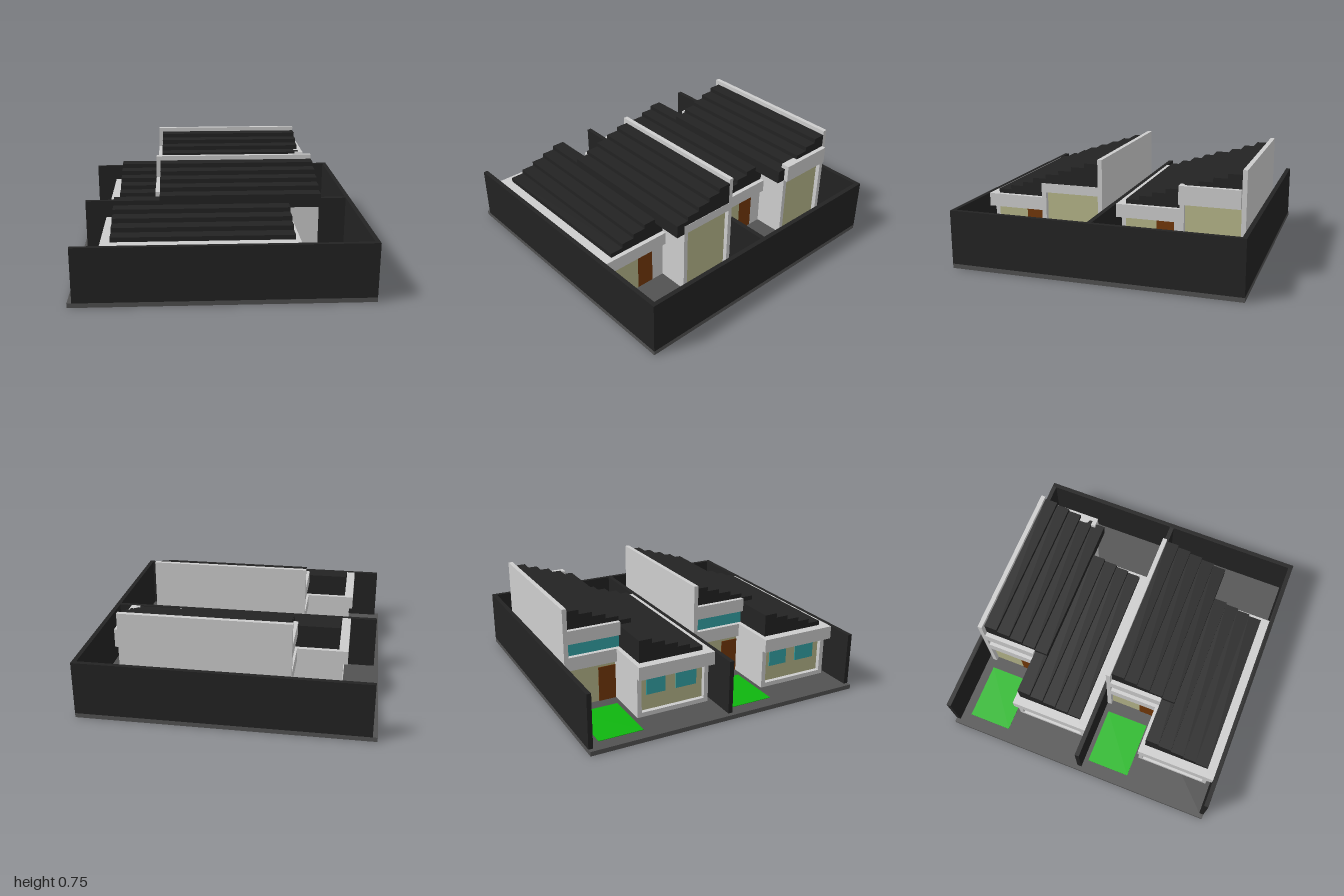
import * as THREE from 'three';

const U = 1 / 32; // building grid: 64 units across the plot

const mat = (name, color) => {
  const m = new THREE.MeshStandardMaterial({ color });
  m.name = name;
  return m;
};

export function createModel() {
  const M = {
    paving: mat('paving grey', 0x525252),
    dark: mat('charcoal', 0x232323),
    white: mat('off white', 0xcdcdcd),
    sand: mat('sand', 0xb6b68a),
    glass: mat('teal glass', 0x35a5a8),
    door: mat('brown door', 0x733808),
    grass: mat('grass green', 0x0fb60f),
  };

  // Box given by its extents in grid units
  const box = (parent, name, material, x0, x1, y0, y1, z0, z1) => {
    const g = new THREE.BoxGeometry((x1 - x0) * U, (y1 - y0) * U, (z1 - z0) * U);
    const mesh = new THREE.Mesh(g, material);
    mesh.position.set((x0 + x1) / 2 * U, (y0 + y1) / 2 * U, (z0 + z1) / 2 * U);
    mesh.name = name;
    parent.add(mesh);
    return mesh;
  };

  // Stepped roof: five treads rising towards the back
  const steppedRoof = (parent, name, x0, x1, y0, firstTop, zBack, zFront) => {
    const s = new THREE.Shape();
    s.moveTo(-zFront * U, y0 * U);
    for (let i = 0; i < 5; i++) {
      s.lineTo(-(zFront - 3 * i) * U, (firstTop + i) * U);
      s.lineTo(-(zFront - 3 * i - 3) * U, (firstTop + i) * U);
    }
    s.lineTo(-zBack * U, y0 * U);
    const g = new THREE.ExtrudeGeometry(s, { depth: (x1 - x0) * U, bevelEnabled: false });
    g.rotateY(Math.PI / 2); // shape x becomes -z, depth becomes x
    g.translate(x0 * U, 0, 0);
    const mesh = new THREE.Mesh(g, M.dark);
    mesh.name = name;
    parent.add(mesh);
  };

  const house = (name, rearUnit) => {
    const h = new THREE.Group();
    h.name = name;
    const b = (n, m, ...e) => box(h, n, m, ...e);

    // Lawn, set through the paving
    b('lawn', M.grass, -29, -16, -0.05, 1.1, 2, 12);

    // Tall rear wing
    b('rearWall', M.white, -14, 22, 1, 24, 1, 2);
    b('wingFrontWall', M.white, 14, 21, 1, 16, 14, 15);
    b('wingCornerPost', M.white, 21, 22, 1, 16, 14, 15);
    b('wingEndPanel', M.sand, 20, 21, 1, 16, 2, 14);
    if (rearUnit) b('wingEndBeam', M.white, 21, 23, 16, 20, 2, 15);
    else b('wingEndBeam', M.white, 21, 22.08, 16, 18, 2, 15);
    b('entrancePanel', M.sand, -13, -12, 1, 10, 2, 13);
    b('entranceDoor', M.door, -13.15, -13, 1, 9, 9, 13);
    b('entranceLedge', M.white, -14, -12, 10, 13, 2, 13);
    b('clerestoryWindow', M.glass, -13, -12, 13, 16, 2, 14);
    b('clerestoryBeam', M.white, -14, -13, 16, 19, 2, 14);
    steppedRoof(h, 'upperRoof', -13, 22, 16, 19, 2, 17);

    // Low front wing: walls
    b('lowBackWall', M.white, -24, -13, 1, 10, 13, 14);
    b('lowFrontWall', M.white, -24, 15, 1, 13, 29, 30);
    b('windowWall', M.sand, -23, -22, 1, 10, 14, 29);
    b('windowSill', M.white, -24, -23, 1, 2, 14, 29);
    for (const [z0, z1] of [[15.5, 20], [22.5, 27.5]])
      b('window', M.glass, -23.2, -23, 5.5, 10, z0, z1);
    b('sideWall', M.white, 14, 15, 1, 13, 15, 18);
    b('sideDoor', M.door, 14, 15, 1, 10, 18, 22);
    b('sidePanel', M.sand, 14, 15, 1, 10, 22, 29);

    // Low front wing: parapet beams and roof
    b('parapetBack', M.white, -25, -13, 10, 13, 13, 14);
    b('parapetEnd', M.white, -25, -24, 10, 13, 14, 31);
    b('parapetEndInner', M.white, -24, -23, 10, 13, 14, 29);
    b('parapetFront', M.white, -24, 16, 10, 13, 30, 31);
    b('parapetSide', M.white, 15, 16, 10, 13, 15, 30);
    steppedRoof(h, 'lowerRoof', -23, 15, 11, 14, 14, 29);
    return h;
  };

  const model = new THREE.Group();
  model.name = 'twinHouses';

  // Plot with garden walls on three sides and a divider
  box(model, 'pavedSlab', M.paving, -32, 32, 0, 1, -32, 32);
  box(model, 'sideGardenWall', M.dark, 31, 32, 1, 13, -32, 32);
  for (const z of [-32, 0, 31])
    box(model, 'gardenWall', M.dark, -31, 31, 1, 13, z, z + 1);

  // Two near-identical houses, one behind the other
  const front = house('frontHouse', false);
  const back = house('backHouse', true);
  back.position.z = -31 * U;
  model.add(front, back);
  return model;
}
